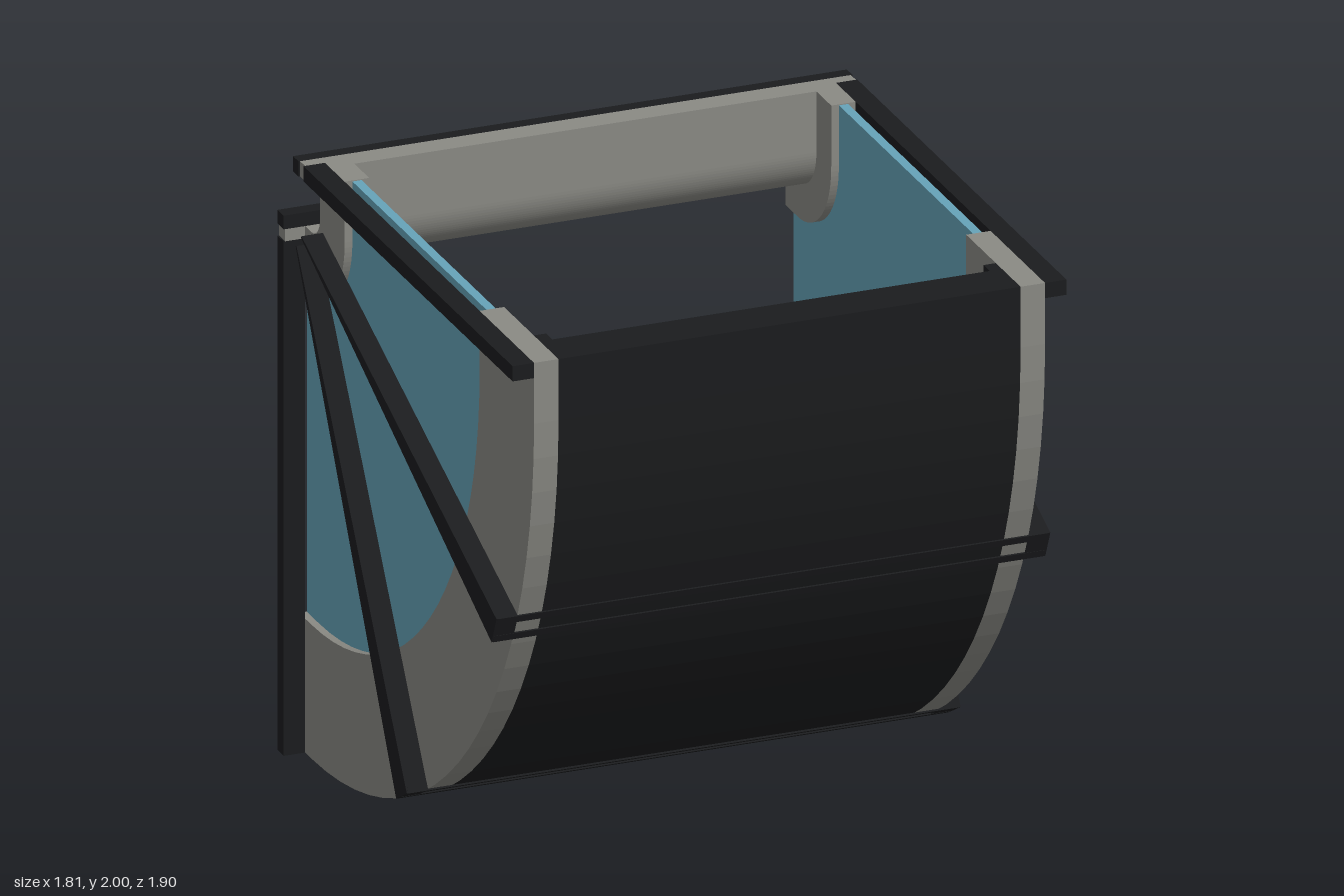
import * as THREE from 'three';

const CY = 1.8, CZ = -0.85; // centre of the quarter bend (y, z)
const TOP = 2, BACK = -0.95; // planes of the two openings

const mat = (color) => new THREE.MeshStandardMaterial({ color });
const black = mat(0x1b1c1e), grey = mat(0x8a8a84), glass = mat(0x66a3b8), teal = mat(0x45b0b8);

export function createModel() {
  const model = new THREE.Group();
  model.name = 'curvedCorridor';

  const add = (parent, name, geometry, material) => {
    const mesh = new THREE.Mesh(geometry, material);
    mesh.name = name;
    parent.add(mesh);
    return mesh;
  };

  // Extrude a (z, y) outline across x0..x1
  const across = (points, x0, x1) => {
    const shape = new THREE.Shape(points.map(([z, y]) => new THREE.Vector2(z, y)));
    const g = new THREE.ExtrudeGeometry(shape, { depth: x1 - x0, bevelEnabled: false });
    return g.rotateY(-Math.PI / 2).translate(x1, 0, 0);
  };

  // Path at radius r: down from the top opening, round the bend, out to the back opening
  const path = (r, top, back) => {
    const n = 24, pts = [[CZ + r, top]];
    for (let i = 0; i <= n; i++) {
      const a = (i / n) * Math.PI / 2;
      pts.push([CZ + r * Math.cos(a), CY - r * Math.sin(a)]);
    }
    pts.push([back, CY - r]);
    return pts;
  };
  const bend = (name, r0, r1, x0, x1, material, top = TOP, back = BACK) =>
    add(model, name, across([...path(r0, top, back), ...path(r1, top, back).reverse()], x0, x1), material);

  const box = (parent, name, x0, x1, y0, y1, z0, z1, material) =>
    add(parent, name, new THREE.BoxGeometry(x1 - x0, y1 - y0, z1 - z0)
      .translate((x0 + x1) / 2, (y0 + y1) / 2, (z0 + z1) / 2), material);

  // Build a part on both sides
  const sides = (x0, x1, build) => {
    build(x0, x1, 'left');
    build(-x1, -x0, 'right');
  };

  // Floor and ceiling of the bend
  bend('floor', 1.65, 1.8, -0.755, 0.755, black);
  bend('ceiling', 0.07, 0.15, -0.755, 0.755, grey);

  // Side walls: outer band, window, inner band
  sides(0.755, 0.835, (a, b, s) => {
    bend(s + 'OuterBand', 1.36, 1.8, a, b, grey);
    bend(s + 'InnerBand', 0.07, 0.27, a, b, grey);
  });
  sides(0.78, 0.81, (a, b, s) => bend(s + 'Window', 0.265, 1.365, a, b, glass, TOP - 0.003, BACK + 0.003));

  // Curbs and light strips on the floor
  sides(0.715, 0.755, (a, b, s) => bend(s + 'Curb', 1.6, 1.651, a, b, black));
  sides(0.637, 0.665, (a, b, s) => bend(s + 'LightStrip', 1.642, 1.655, a, b, teal, 1.93, -0.89));
  box(model, 'topLightStrip', -0.665, 0.665, 1.905, 1.93, CZ + 1.642, CZ + 1.655, teal);
  box(model, 'backLightStrip', -0.665, 0.665, CY - 1.655, CY - 1.642, -0.89, -0.865, teal);

  // Tapered ribs on the walls, with twin bands round the outside and a light inside
  for (const angle of [23.8, 60]) {
    const rib = new THREE.Group();
    rib.name = 'rib';
    rib.position.set(0, CY, CZ);
    rib.rotation.x = THREE.MathUtils.degToRad(angle);
    model.add(rib);
    sides(0.835, 0.905, (a, b, s) =>
      add(rib, s + 'Spoke', across([[0.1, -0.004], [1.803, -0.05], [1.803, 0.05], [0.1, 0.004]], a, b), black));
    for (const t of [-0.037, 0.037])
      box(rib, 'outerStrap', -0.9, 0.9, t - 0.013, t + 0.013, 1.78, 1.804, black);
    box(rib, 'ribLightStrip', -0.64, 0.64, -0.018, 0.018, 1.64, 1.654, teal);
  }

  // Frames round the top and back openings
  sides(0.835, 0.905, (a, b, s) => {
    box(model, s + 'TopRail', a, b, 1.95, 2, -0.74, 0.95, black);
    box(model, s + 'BackPost', a, b, 0, 1.69, -0.95, -0.9, black);
  });
  box(model, 'topCrossBar', -0.905, 0.905, 1.95, 2, -0.825, -0.78, black);
  box(model, 'backCrossBar', -0.905, 0.905, 1.73, 1.775, -0.95, -0.9, black);
  sides(0.835, 0.9, (a, b, s) => {
    box(model, s + 'TopCorner', a, b, 1.95, 2, -0.78, -0.74, grey);
    box(model, s + 'BackCorner', a, b, 1.69, 1.73, -0.95, -0.9, grey);
  });

  return model;
}
